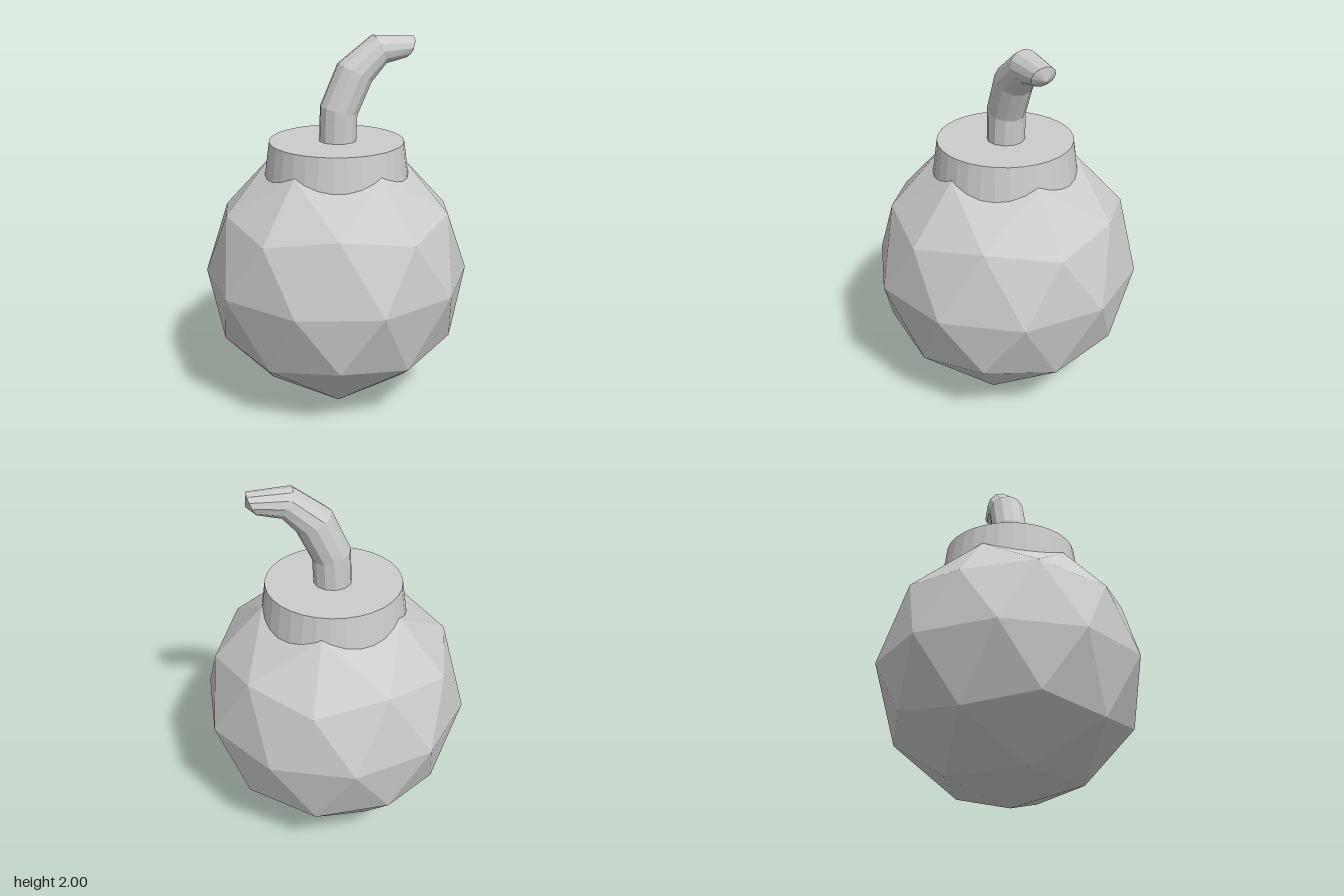
import * as THREE from 'three';

const material = () => new THREE.MeshStandardMaterial({ color: 0xcccccc, flatShading: true });

function part(name, geometry) {
  const mesh = new THREE.Mesh(geometry, material());
  mesh.name = name;
  return mesh;
}

// Faceted tube through tilted rings, closed by a shallow pointed tip.
// Each ring: [outer x, outer y, inner x, inner y, half width in z]
function fuseGeometry(rings, tip, sides) {
  const positions = [];
  const indices = [];
  for (const [ax, ay, bx, by, halfZ] of rings) {
    for (let j = 0; j < sides; j++) {
      const a = (j / sides) * Math.PI * 2;
      const t = (1 - Math.cos(a)) / 2;
      positions.push(ax + (bx - ax) * t, ay + (by - ay) * t, halfZ * Math.sin(a));
    }
  }
  positions.push(...tip);
  const apex = rings.length * sides;
  for (let i = 0; i < rings.length; i++) {
    for (let j = 0; j < sides; j++) {
      const a = i * sides + j;
      const b = i * sides + (j + 1) % sides;
      if (i === rings.length - 1) indices.push(a, b, apex);
      else indices.push(a, b, a + sides, b, b + sides, a + sides);
    }
  }
  const indexed = new THREE.BufferGeometry();
  indexed.setAttribute('position', new THREE.Float32BufferAttribute(positions, 3));
  indexed.setIndex(indices);
  const geometry = indexed.toNonIndexed();
  geometry.computeVertexNormals();
  return geometry;
}

export function createModel() {
  const group = new THREE.Group();
  group.name = 'bomb';

  // Round body: low-poly sphere turned so that it stands on a corner
  const ball = new THREE.IcosahedronGeometry(0.72, 1);
  ball.rotateX(-Math.atan((1 + Math.sqrt(5)) / 2));
  ball.rotateY(Math.PI / 2);
  ball.translate(0, 0.72, 0);
  ball.computeVertexNormals();
  group.add(part('body', ball));

  // Tapered collar sunk into the top of the body
  const collar = new THREE.CylinderGeometry(0.36, 0.39, 0.215, 32);
  collar.translate(0, 1.455 - 0.215 / 2, 0);
  group.add(part('collar', collar));

  // Bent fuse, thinning towards its tip
  const rings = [
    [-0.095, 1.42, 0.105, 1.42, 0.1],
    [-0.088, 1.64, 0.112, 1.59, 0.1],
    [0.01, 1.86, 0.19, 1.757, 0.1],
    [0.2, 2.0, 0.267, 1.845, 0.085],
    [0.43, 1.985, 0.382, 1.872, 0.065],
  ];
  group.add(part('fuse', fuseGeometry(rings, [0.435, 1.912, 0], 12)));

  return group;
}
